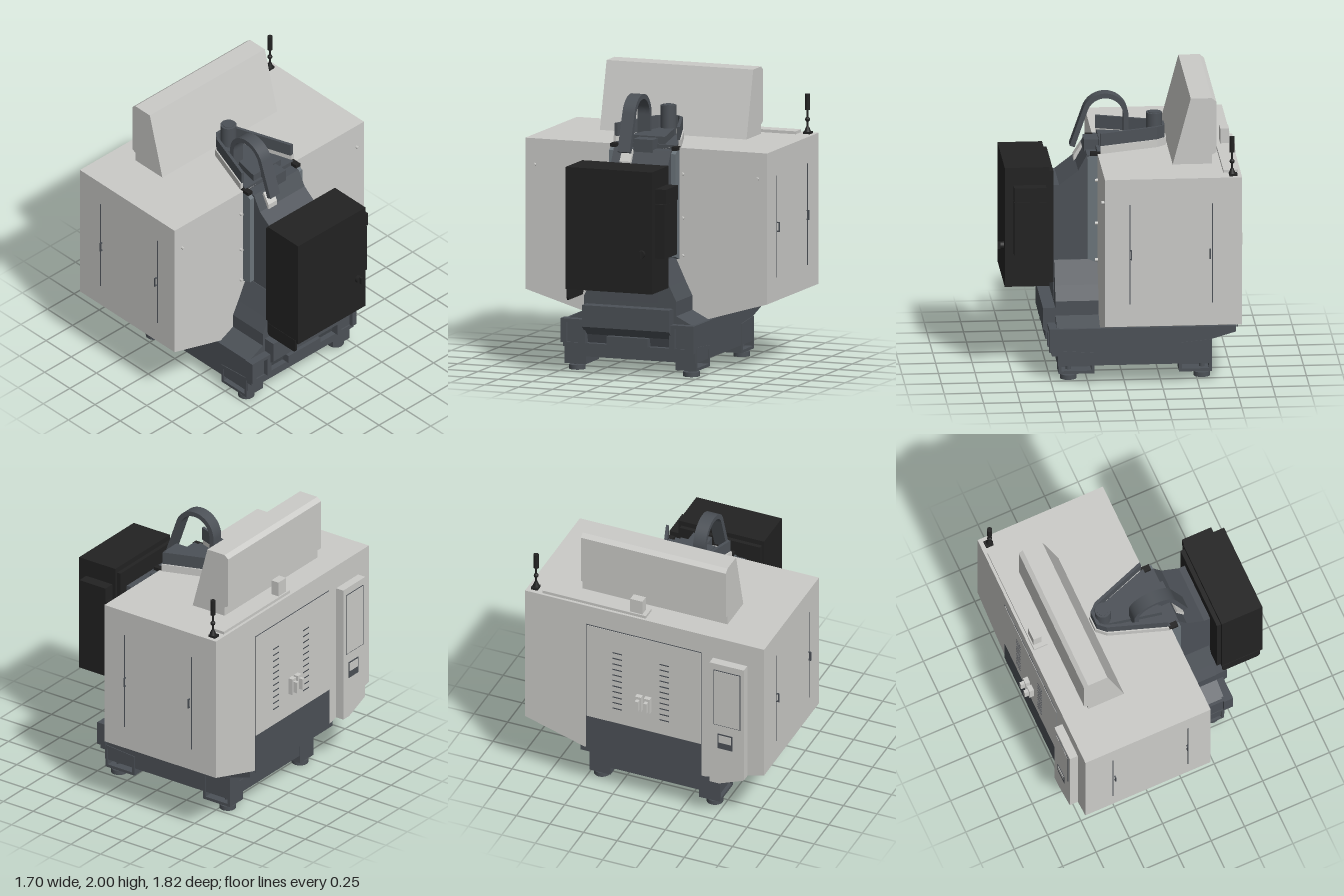
import * as THREE from 'three';

const mat = (name, color, side = THREE.FrontSide) => {
  const m = new THREE.MeshStandardMaterial({ color, side });
  m.name = name;
  return m;
};

export function createModel() {
  const root = new THREE.Group();
  root.name = 'machiningCentre';
  const light = mat('lightGreyPaint', 0xcbcbc8);
  const dark = mat('charcoalPaint', 0x4c5157);
  const steel = mat('steelGrey', 0x6b747a);
  const black = mat('blackPaint', 0x222222);

  const add = (name, geo, m) => {
    const mesh = new THREE.Mesh(geo, m);
    mesh.name = name;
    root.add(mesh);
    return mesh;
  };
  // Box given by its min and max on each axis
  const box = (name, m, x0, x1, y0, y1, z0, z1) => {
    const g = new THREE.BoxGeometry(x1 - x0, y1 - y0, z1 - z0);
    return add(name, g.translate((x0 + x1) / 2, (y0 + y1) / 2, (z0 + z1) / 2), m);
  };
  const cyl = (name, m, r, x, y0, y1, z, rb = r) =>
    add(name, new THREE.CylinderGeometry(r, rb, y1 - y0, 24).translate(x, (y0 + y1) / 2, z), m);
  const shapeOf = (pts) => new THREE.Shape(pts.map(([a, b]) => new THREE.Vector2(a, b)));
  const extrude = (shape, depth) =>
    new THREE.ExtrudeGeometry(shape, { depth, bevelEnabled: false, curveSegments: 24 });
  // Side profile (x, y) swept from z0 to z1
  const alongZ = (name, m, pts, z0, z1) =>
    add(name, extrude(shapeOf(pts), z1 - z0).translate(0, 0, z0), m);
  // End profile (z, y) swept from x0 to x1
  const alongX = (name, m, pts, x0, x1) =>
    add(name, extrude(shapeOf(pts.map(([z, y]) => [-z, y])), x1 - x0).rotateY(Math.PI / 2).translate(x0, 0, 0), m);
  // Plan outline (x, z) swept from y0 to y1
  const alongY = (name, m, pts, y0, y1) =>
    add(name, extrude(shapeOf(pts.map(([x, z]) => [x, -z])), y1 - y0).rotateX(-Math.PI / 2).translate(0, y0, 0), m);
  const mirrorZ = (pts) => [...pts, ...pts.map(([z, y]) => [-z, y]).reverse()];

  // Cast base with overhanging nose
  alongZ('baseBed', dark, [[-0.6, 0.1], [0.45, 0.1], [0.45, 0.2], [0.16, 0.2], [0.16, 0.36],
    [-0.77, 0.36], [-0.77, 0.32], [-0.6, 0.27]], -0.48, 0.48);
  box('rearLedge', dark, 0.4, 0.49, 0.17, 0.2, -0.48, 0.48);
  box('rearCatch', dark, 0.45, 0.51, 0.2, 0.26, -0.15, 0.15);
  for (const s of [-1, 1]) {
    const span = (a, b) => (s > 0 ? [a, b] : [-b, -a]);
    alongZ('baseRail', dark, [[0.16, 0.2], [0.48, 0.2], [0.48, 0.36], [0.16, 0.36]], ...span(0.34, 0.48));
    box('rearCornerPost', dark, 0.44, 0.51, 0.2, 0.36, ...span(0.45, 0.49));
    box('rearCornerPost', dark, 0.44, 0.51, 0.2, 0.36, ...span(0.31, 0.35));
    box('cornerCap', dark, 0.44, 0.51, 0.34, 0.365, ...span(0.31, 0.49));

    // Corner legs with open pockets and levelling feet
    for (const [x0, x1, xf] of [[-0.605, -0.38, -0.54], [0.2, 0.445, 0.375]]) {
      const high = x0 < 0 ? [0.27, 0.25] : [0.19, 0.21];
      const frame = shapeOf([[x0, 0.045], [x1, 0.045], [x1, high[1]], [x0, high[0]]]);
      frame.holes.push(new THREE.Path([[x0 + 0.02, 0.065], [x0 + 0.02, high[0] - 0.025],
        [x1 - 0.02, high[1] - 0.025], [x1 - 0.02, 0.065]].map(([a, b]) => new THREE.Vector2(a, b))));
      const z = span(0.375, 0.485);
      add('legFrame', extrude(frame, 0.11).translate(0, 0, z[0]), dark);
      box('legBlock', dark, x0, x1, 0.045, 0.2, ...span(0.33, 0.376));
      cyl('footStud', dark, 0.02, xf, 0.03, 0.13, s * 0.42);
      cyl('footPad', dark, 0.057, xf, 0, 0.032, s * 0.42);
    }
  }

  // Column foot, flare and upright
  alongZ('columnFoot', dark, [[0.16, 0.2], [0.45, 0.2], [0.47, 0.26], [0.54, 0.32], [0.54, 0.47], [0.16, 0.47]], -0.32, 0.32);
  alongX('columnSkirt', dark, mirrorZ([[0.46, 0.36], [0.34, 0.42], [0.34, 0.52], [0.29, 0.62], [0.215, 0.78]]), 0.14, 0.455);
  alongZ('columnUpright', dark, [[0.1, 0.5], [0.46, 0.5], [0.47, 1.31], [0.42, 1.31], [0.29, 1.41],
    [0.23, 1.52], [0.1, 1.52]], -0.21, 0.21);
  for (const s of [-1, 1]) {
    const z = s > 0 ? [0.205, 0.245] : [-0.245, -0.205];
    alongZ('columnGuide', steel, [[0.15, 0.76], [0.23, 0.79], [0.23, 1.5], [0.2, 1.52], [0.15, 1.52]], ...z);
    box('guideClamp', black, 0.14, 0.21, 1.52, 1.545, ...z);
  }

  // Enclosure with sloped underside
  alongX('enclosure', light, mirrorZ([[0.45, 0.36], [0.89, 0.49], [0.89, 1.535]]), -0.78, 0.16);

  // Operator door on the -x side, with lower apron, vents and handles
  box('doorSeam', dark, -0.783, -0.779, 0.62, 1.385, -0.435, 0.425);
  box('doorPanel', light, -0.786, -0.782, 0.625, 1.38, -0.43, 0.42);
  box('doorApron', dark, -0.786, -0.779, 0.34, 0.625, -0.435, 0.425);
  for (const z of [-0.2, 0.15])
    for (let i = 0; i < 11; i++) {
      const y = 0.74 + i * 0.046;
      box('ventSlot', dark, -0.788, -0.785, y, y + 0.008, z - 0.035, z + 0.035);
    }
  for (const s of [-1, 1]) {
    const z = s * 0.032;
    box('doorHandle', light, -0.82, -0.785, 0.79, 0.91, z - 0.022, z + 0.022);
    box('doorHandleGrip', light, -0.85, -0.82, 0.81, 0.89, z - 0.012, z + 0.012);
  }

  // Service doors on both long sides
  for (const s of [-1, 1]) {
    for (const x of [-0.575, -0.01])
      box('serviceDoorSeam', dark, x - 0.003, x + 0.003, 0.65, 1.355, s * 0.891 - 0.002, s * 0.891 + 0.002);
    for (const x of [-0.56, -0.02]) {
      box('pullBar', dark, x - 0.004, x + 0.004, 0.965, 1.035, s * 0.905 - 0.004, s * 0.905 + 0.004);
      for (const y of [0.969, 1.031])
        box('pullPost', dark, x - 0.004, x + 0.004, y - 0.004, y + 0.004, s * 0.897 - 0.01, s * 0.897 + 0.01);
    }
    for (const [y, z] of [[1.355, 0.82], [1.355, 0.27], [1.05, 0.27], [0.79, 0.27]])
      add('wallPeg', new THREE.CylinderGeometry(0.011, 0.011, 0.03, 12).rotateZ(Math.PI / 2)
        .translate(0.165, y, s * z), light);
  }

  // Control pendant
  alongX('pendant', light, [[0.51, 0.375], [0.58, 0.375], [0.765, 0.45], [0.765, 1.365], [0.51, 1.365]], -0.84, -0.77);
  box('pendantScreenFrame', dark, -0.843, -0.839, 0.86, 1.315, 0.54, 0.74);
  box('pendantScreenPanel', light, -0.845, -0.842, 0.865, 1.31, 0.545, 0.735);
  box('pendantSlot', dark, -0.843, -0.839, 0.67, 0.79, 0.57, 0.68);
  box('pendantSlotCover', light, -0.846, -0.842, 0.72, 0.78, 0.58, 0.67);

  // Raised roof housing over the door
  alongZ('roofHousing', light, [[-0.6, 1.53], [-0.33, 1.53], [-0.455, 2], [-0.6, 2], [-0.63, 1.975],
    [-0.63, 1.615], [-0.6, 1.6]], -0.54, 0.54);
  box('roofDuct', light, -0.76, -0.66, 1.53, 1.555, -0.77, 0);
  box('roofBox', light, -0.75, -0.69, 1.55, 1.66, -0.12, -0.03);

  // Signal tower
  box('towerFoot', black, -0.75, -0.695, 1.53, 1.55, -0.86, -0.81);
  cyl('towerCone', black, 0.01, -0.715, 1.55, 1.585, -0.835, 0.024);
  cyl('towerPole', black, 0.007, -0.715, 1.56, 1.72, -0.835);
  add('towerJoint', new THREE.SphereGeometry(0.017, 16, 12).translate(-0.715, 1.635, -0.835), black);
  cyl('towerLamp', black, 0.018, -0.715, 1.7, 1.81, -0.835);

  // Spindle head opening: floor, light collar and V-shaped guard
  const vee = (d) => [[0.16, 0.24 + d], [0.16, -0.24 - d], [-0.26, -0.1 - d], [-0.315 - d, -0.05],
    [-0.315 - d, 0.05], [-0.26, 0.1 + d]];
  alongY('headFloor', dark, vee(-0.012), 1.52, 1.55);
  const wall = (name, m, o, i, y0, y1, xEnd) => {
    const a = vee(o), b = vee(i);
    const order = [0, 5, 4, 3, 2, 1];
    const line = (p) => order.map((k) => [Math.min(p[k][0], xEnd), p[k][1]]);
    alongY(name, m, [...line(a), ...line(b).reverse()], y0, y1);
  };
  wall('headCollar', light, 0.01, -0.01, 1.53, 1.588, 0.14);
  wall('headGuard', dark, 0, -0.022, 1.585, 1.675, 0.14);
  alongY('headCasting', dark, [[0.14, 0.13], [0.14, -0.13], [-0.24, -0.05], [-0.24, 0.05]], 1.54, 1.6);
  box('headBridge', dark, 0.08, 0.24, 1.5, 1.59, -0.08, 0.06);
  cyl('spindleMotor', dark, 0.055, -0.245, 1.55, 1.755, 0);
  cyl('spindleMotorCap', dark, 0.04, -0.245, 1.75, 1.76, 0);

  // Arched cable carrier
  const band = new THREE.Shape();
  const t = 0.34, cx = 0.085, cy = 1.715;
  band.moveTo(-0.075, 1.58);
  band.lineTo(-0.075, cy);
  band.absarc(cx, cy, 0.16, Math.PI, t, true);
  band.lineTo(0.327, 1.51);
  band.lineTo(0.294, 1.498);
  band.absarc(cx, cy, 0.126, t, Math.PI, false);
  band.lineTo(-0.041, 1.58);
  add('cableCarrier', extrude(band, 0.09).translate(0, 0, 0.055), dark);
  alongZ('carrierBracket', light, [[0.23, 1.47], [0.3, 1.4], [0.3, 1.44], [0.25, 1.52]], 0.06, 0.14);

  // Electrical cabinet with cooling units and switch
  box('cabinet', black, 0.495, 0.8, 0.62, 1.465, -0.3, 0.335);
  box('cabinetBack', black, 0.465, 0.5, 0.64, 1.43, -0.28, 0.32);
  alongZ('cabinetFlap', black, [[0.5, 0.56], [0.515, 0.54], [0.765, 0.54], [0.78, 0.56], [0.78, 0.64], [0.5, 0.64]], 0.325, 0.338);
  box('coolingUnit', black, 0.52, 0.74, 0.86, 1.235, -0.37, -0.295);
  box('coolingUnitTop', black, 0.52, 0.74, 1.24, 1.34, -0.38, -0.295);
  add('switchBase', new THREE.CylinderGeometry(0.027, 0.027, 0.03, 20).rotateZ(Math.PI / 2)
    .translate(0.81, 0.895, -0.225), black);
  box('switchHandle', black, 0.82, 0.845, 0.87, 0.92, -0.232, -0.218);

  return root;
}
